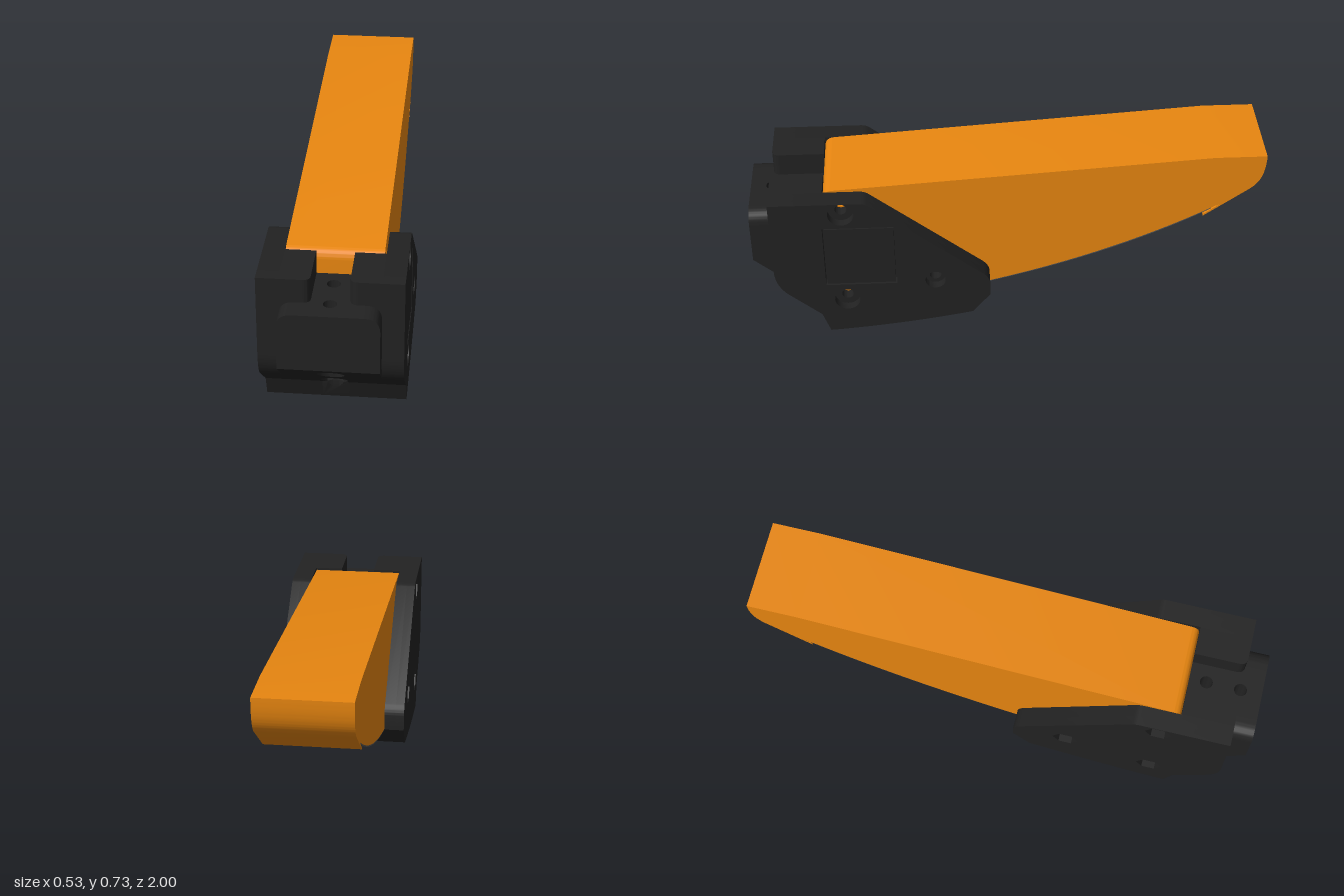
import * as THREE from 'three';
import { toCreasedNormals } from 'three/addons/utils/BufferGeometryUtils.js';

const black = new THREE.MeshStandardMaterial({ color: 0x222222 });
const orange = new THREE.MeshStandardMaterial({ color: 0xe88610 });
const grey = new THREE.MeshStandardMaterial({ color: 0x555555 });
const pit = new THREE.MeshStandardMaterial({ color: 0x0a0a0a });

const W = 0.263, IN = 0.183; // outer and inner half widths of the bracket
const BOLTS = [[0.64, 0.585], [0.635, 0.165], [0.285, 0.25]];
const SCREWS = [0.78, 0.915]; // z of the vertical screw holes
const slope = z => 0.09 + (z - 0.74) * 0.865; // sloping lower front face
const lipFace = z => 0.005 + (z - 0.71) * 2.83; // short face under it

function createMesh(name, geometry, material) {
  const mesh = new THREE.Mesh(toCreasedNormals(geometry, 0.45), material);
  mesh.name = name;
  return mesh;
}

function circle(u, v, r, sides = 32) {
  const pts = [];
  for (let i = 0; i < sides; i++) {
    const a = (i / sides) * Math.PI * 2;
    pts.push(new THREE.Vector2(u + r * Math.cos(a), v + r * Math.sin(a)));
  }
  return new THREE.Path(pts);
}

function polygon(points) {
  return new THREE.Shape(points.map(p => new THREE.Vector2(...p)));
}

// Side profile (z, y) extruded across x
function across(name, shape, x0, x1, material) {
  const g = new THREE.ExtrudeGeometry(shape, { depth: x1 - x0, bevelEnabled: false, curveSegments: 24 });
  g.rotateY(-Math.PI / 2).translate(x1, 0, 0);
  return createMesh(name, g, material);
}

// Plan shape (x, z) extruded up y between two height rules
function upright(name, shape, bottom, top) {
  const g = new THREE.ExtrudeGeometry(shape, { depth: 1, bevelEnabled: false, curveSegments: 16 });
  g.rotateX(Math.PI / 2);
  const p = g.attributes.position;
  for (let i = 0; i < p.count; i++) {
    p.setY(i, (p.getY(i) < -0.5 ? bottom : top)(p.getZ(i)));
  }
  return createMesh(name, g, black);
}

function plateShape() {
  const s = new THREE.Shape();
  s.moveTo(0.915, 0.635);
  s.lineTo(0.57, 0.635);
  s.quadraticCurveTo(0.55, 0.635, 0.535, 0.625);
  s.lineTo(0.095, 0.272);
  s.quadraticCurveTo(0.072, 0.25, 0.07, 0.225);
  s.lineTo(0.07, 0.165);
  s.lineTo(0.14, 0.08);
  s.quadraticCurveTo(0.42, 0.025, 0.71, 0.005);
  s.lineTo(0.74, 0.09);
  s.lineTo(0.86, slope(0.86));
  s.quadraticCurveTo(0.915, 0.24, 0.915, 0.32);
  s.closePath();
  return s;
}

function addPlates(group) {
  const square = (a, b, c, d) => [[a, c], [b, c], [b, d], [a, d]];
  for (const side of [1, -1]) {
    const name = side > 0 ? 'leftPlate' : 'rightPlate';
    const inner = plateShape(), outer = plateShape();
    BOLTS.forEach(([z, y], i) => {
      inner.holes.push(circle(z, y, 0.023));
      // round counterbores on one side, hexagonal nut pockets on the other
      outer.holes.push(side > 0 ? circle(z, y, i === 2 ? 0.04 : 0.05) : circle(z, y, 0.052, 6));
    });
    if (side > 0) outer.holes.push(polygon(square(0.435, 0.715, 0.24, 0.52)));
    const put = (n, shape, a, b) =>
      group.add(across(n, shape, Math.min(a * side, b * side), Math.max(a * side, b * side), black));
    put(name + 'Inner', inner, IN, W - 0.035);
    put(name + 'Outer', outer, W - 0.035, W);
  }
  // square inlay set in a fine groove
  group.add(across('squareInlay', polygon(square(0.441, 0.709, 0.246, 0.514)), W - 0.036, W - 0.002, black));
}

function addFloor(group) {
  const floor = front => {
    const s = new THREE.Shape();
    s.moveTo(0.07, 0.165);
    s.lineTo(0.14, 0.08);
    s.quadraticCurveTo(0.42, 0.025, 0.71, 0.005);
    s.lineTo(front, 0.09);
    s.quadraticCurveTo(0.4, 0.09, 0.07, 0.165);
    return s;
  };
  group.add(across('floorLeft', floor(0.74), 0.05, IN, black));
  group.add(across('floorRight', floor(0.74), -IN, -0.05, black));
  group.add(across('floorMiddle', floor(0.71), -0.05, 0.05, black));
  // lip bitten into by the rear counterbore
  const lip = new THREE.Shape();
  lip.moveTo(-0.05, 0.71);
  lip.lineTo(0.05, 0.71);
  lip.lineTo(0.05, 0.74);
  lip.lineTo(0.03, 0.74);
  lip.absarc(0, 0.78, 0.05, -0.927, -Math.PI + 0.927, true);
  lip.lineTo(-0.05, 0.74);
  group.add(upright('floorLip', lip, lipFace, () => 0.092));
  // blind mounting holes underneath
  for (const x of [-0.11, 0.11]) for (const [z, y] of [[0.47, 0.0295], [0.21, 0.0675]]) {
    const hole = createMesh('mountingHole', new THREE.CylinderGeometry(0.015, 0.015, 0.006, 20), pit);
    hole.position.set(x, y, z);
    hole.rotation.x = 0.14;
    group.add(hole);
  }
}

function addFrontBlock(group) {
  // middle column with two counterbored vertical holes
  const column = r => {
    const s = polygon([[-0.1, 0.71], [0.1, 0.71], [0.1, 1], [-0.1, 1]]);
    SCREWS.forEach(z => s.holes.push(circle(0, z, r)));
    return s;
  };
  const shoulder = z => slope(z) + 0.1;
  group.add(upright('screwBlock', column(0.025), shoulder, () => 0.542));
  const lower = polygon([[-0.1, 0.74], [-0.03, 0.74], ...arcPoints(), [0.03, 0.74], [0.1, 0.74], [0.1, 1], [-0.1, 1]]);
  lower.holes.push(circle(0, SCREWS[1], 0.05));
  group.add(upright('counterboreBlock', lower, slope, shoulder));

  for (const side of [1, -1]) {
    // cheeks flanking the top notch, with a rounded front corner
    const cheek = new THREE.Shape();
    cheek.moveTo(side * 0.07, 0.71);
    cheek.lineTo(side * IN, 0.71);
    cheek.lineTo(side * IN, 0.915);
    cheek.lineTo(side * 0.1, 0.915);
    cheek.quadraticCurveTo(side * 0.07, 0.915, side * 0.07, 0.885);
    group.add(upright('notchCheek', cheek, () => 0.54, () => 0.635));
    const base = polygon([[0.1, 0.71], [IN, 0.71], [IN, 0.915], [0.1, 0.915]].map(([x, z]) => [side * x, z]));
    group.add(upright('cheekBase', base, slope, () => 0.54));

    // rounded sides of the nose
    const nose = new THREE.Shape();
    nose.moveTo(side * 0.1, 0);
    nose.lineTo(side * IN, 0);
    nose.lineTo(side * IN, 0.485);
    nose.quadraticCurveTo(side * IN, 0.542, side * 0.126, 0.542);
    nose.lineTo(side * 0.1, 0.542);
    const g = new THREE.ExtrudeGeometry(nose, { depth: 0.1, bevelEnabled: false, curveSegments: 16 });
    g.translate(0, 0, 0.9);
    const p = g.attributes.position;
    for (let i = 0; i < p.count; i++) if (p.getY(i) < 0.1) p.setY(i, slope(p.getZ(i)));
    group.add(createMesh('noseSide', g, black));
  }
}

// front half of the rear counterbore, opening towards the lip
function arcPoints() {
  const pts = [];
  for (let i = 1; i < 20; i++) {
    const a = -Math.PI + 0.927 - (i / 20) * (Math.PI + 2 * 0.927);
    pts.push([0.05 * Math.cos(a), 0.78 + 0.05 * Math.sin(a)]);
  }
  return pts;
}

function addWedge(group) {
  const s = new THREE.Shape();
  s.moveTo(0.71, 0.09);
  s.lineTo(0.71, 0.595);
  s.quadraticCurveTo(0.71, 0.635, 0.67, 0.637);
  s.lineTo(-0.8, 0.738);
  s.lineTo(-1, 0.738);
  s.bezierCurveTo(-1, 0.66, -0.985, 0.615, -0.94, 0.583);
  s.lineTo(-0.77, 0.46); // thin hooked lip
  s.lineTo(-0.775, 0.472);
  s.lineTo(-0.83, 0.512);
  s.lineTo(-0.815, 0.507);
  s.quadraticCurveTo(-0.425, 0.29, 0.07, 0.165);
  s.quadraticCurveTo(0.4, 0.09, 0.71, 0.09);
  BOLTS.forEach(([z, y]) => s.holes.push(circle(z, y, 0.023)));
  group.add(across('wedge', s, -0.182, 0.176, orange));

  // thin liner following the underside
  const t = new THREE.Shape();
  t.moveTo(-0.8, 0.5);
  t.quadraticCurveTo(-0.425, 0.29, 0.07, 0.166);
  t.lineTo(0.07, 0.161);
  t.quadraticCurveTo(-0.425, 0.285, -0.8, 0.494);
  group.add(across('undersideLiner', t, -0.181, 0.175, grey));
}

export function createModel() {
  const model = new THREE.Group();
  model.name = 'wedgeOnBracket';
  const bracket = new THREE.Group();
  bracket.name = 'bracket';
  addPlates(bracket);
  addFloor(bracket);
  addFrontBlock(bracket);
  model.add(bracket);
  addWedge(model);
  return model;
}
